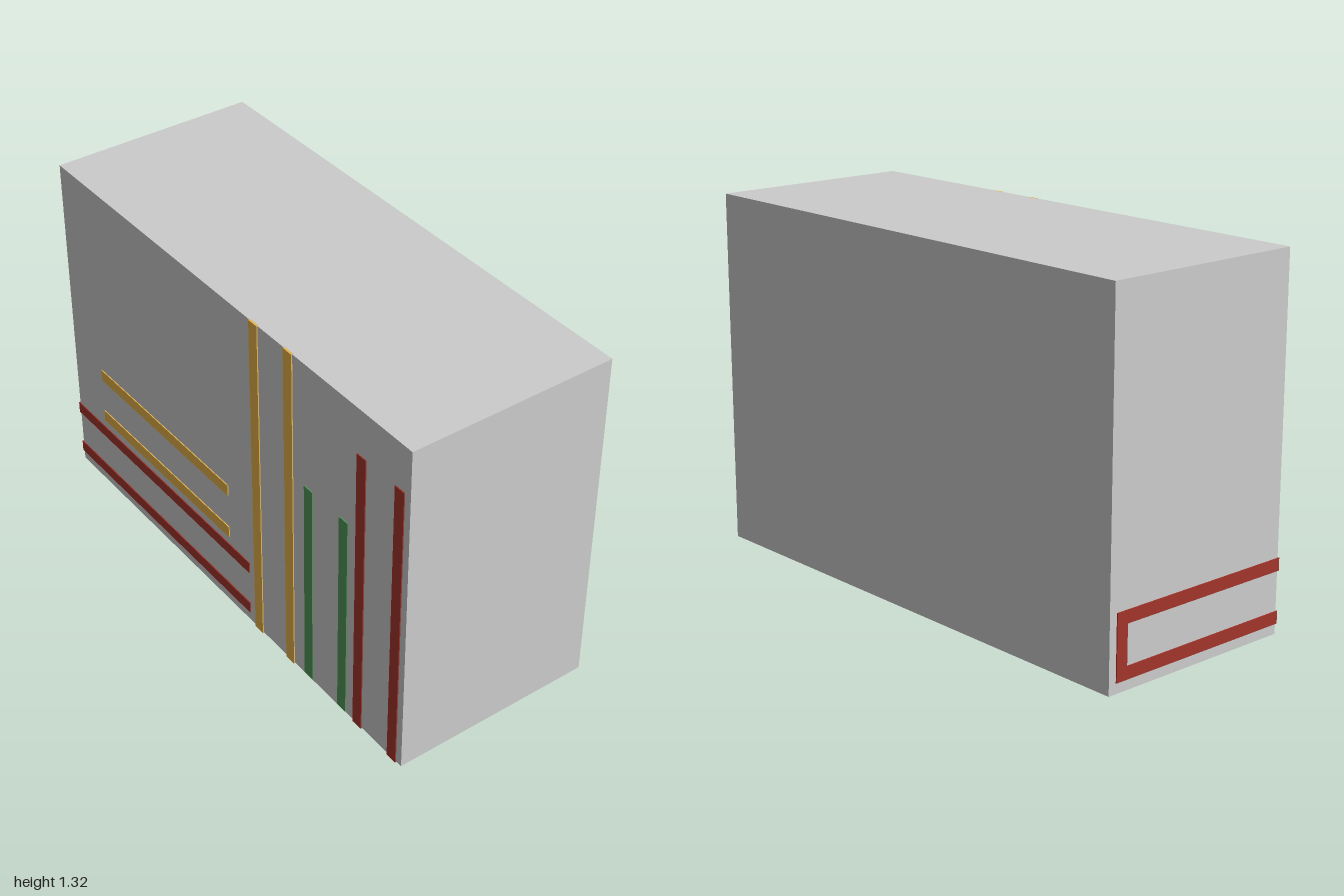
import * as THREE from 'three';

const T = 0.004; // stripe thickness
const W = 0.045; // stripe width
const material = (color) => new THREE.MeshStandardMaterial({ color });
const grey = material(0xcccccc);
const yellow = material(0xe6b34a);
const green = material(0x509658);
const red = material(0xa2342a);

// Box given by its two opposite corners
function slab(parent, name, mat, [x0, y0, z0], [x1, y1, z1]) {
  const mesh = new THREE.Mesh(new THREE.BoxGeometry(x1 - x0, y1 - y0, z1 - z0), mat);
  mesh.position.set((x0 + x1) / 2, (y0 + y1) / 2, (z0 + z1) / 2);
  mesh.name = name;
  parent.add(mesh);
}

export function createModel() {
  const model = new THREE.Group();
  model.name = 'stripedBlock';
  const front = 0.39, back = -0.39, wrapEnd = -0.36, top = 1.315;

  slab(model, 'body', grey, [-1 + T, T, back], [1, top, front - T]);

  // Pairs of upright stripes on the front: left edge, bottom, top
  const uprights = [
    ['yellowUpright', yellow, 0.173, 0, top],
    ['greenUpright', green, 0.468, 0.01, 0.838],
    ['redUpright', red, 0.741, 0, 1.145],
  ];
  for (const [name, mat, x, y0, y1] of uprights) {
    for (const dx of [0, 0.187]) {
      slab(model, name, mat, [x + dx, y0, front - 2 * T], [x + dx + W, y1, front]);
    }
  }

  // Pairs of level stripes on the front: lower edge, start, end
  const levels = [
    ['redLevel', red, 0.041, -1, 0.14],
    ['yellowLevel', yellow, 0.308, -0.805, 0.02],
  ];
  for (const [name, mat, y, x0, x1] of levels) {
    for (const dy of [0, 0.187]) {
      slab(model, name, mat, [x0, y + dy, front - 2 * T], [x1, y + dy + W, front]);
    }
  }

  // Red level pair continues round the side and is closed near the back
  for (const y of [0.041, 0.228]) {
    slab(model, 'redSideArm', red, [-1, y, wrapEnd], [-1 + 2 * T, y + W, front]);
  }
  slab(model, 'redSideEnd', red, [-1, 0.041 + W, wrapEnd], [-1 + 2 * T, 0.228, wrapEnd + W]);

  // Yellow and red upright pairs continue underneath and are closed near the back
  for (const [name, mat, x] of [uprights[0], uprights[2]]) {
    const y0 = mat === yellow ? T / 4 : 0;
    for (const dx of [0, 0.187]) {
      slab(model, name + 'UnderArm', mat, [x + dx, y0, wrapEnd], [x + dx + W, 2 * T, front]);
    }
    slab(model, name + 'UnderEnd', mat, [x + W, y0, wrapEnd], [x + 0.187, 2 * T, wrapEnd + W]);
  }
  return model;
}
